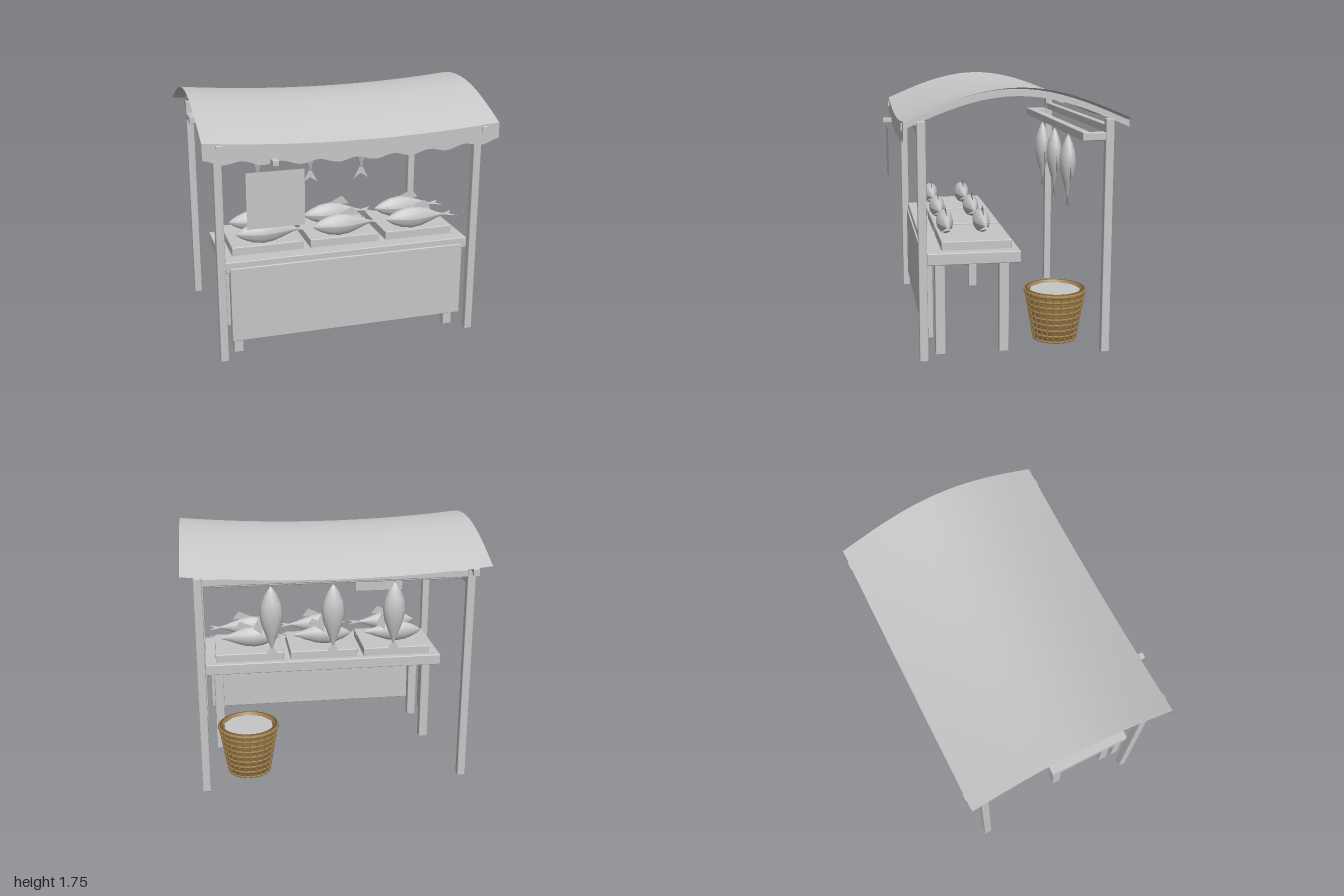
import * as THREE from 'three';
import { RoundedBoxGeometry } from 'three/addons/geometries/RoundedBoxGeometry.js';

const grey = new THREE.MeshStandardMaterial({ color: 0xc6c6c6, side: THREE.DoubleSide });
grey.name = 'pale grey';
const wicker = new THREE.MeshStandardMaterial({ color: 0xa6844f, side: THREE.DoubleSide });
wicker.name = 'wicker brown';

function add(parent, name, geometry, material = grey, x = 0, y = 0, z = 0) {
  const mesh = new THREE.Mesh(geometry, material);
  mesh.name = name;
  mesh.position.set(x, y, z);
  parent.add(mesh);
  return mesh;
}

// Box given by its limits on each axis, with slightly eased edges
function block(parent, name, [x0, x1], [y0, y1], [z0, z1]) {
  const geometry = new RoundedBoxGeometry(x1 - x0, y1 - y0, z1 - z0, 1, 0.006);
  return add(parent, name, geometry, grey, (x0 + x1) / 2, (y0 + y1) / 2, (z0 + z1) / 2);
}
const around = (c, size) => [c - size / 2, c + size / 2];

// Canopy curve: arched from front to back, sagging between the sides
const ROOF_Z = -0.03, ROOF_HALF = 0.715;
const arch = (z) => 1.55 + 0.2 * Math.cos(((z - ROOF_Z) / ROOF_HALF) * Math.PI / 2);
const sag = (x) => 0.05 * (1 - x * x);

function flatShape(points) {
  return new THREE.ShapeGeometry(new THREE.Shape(points.map(([x, y]) => new THREE.Vector2(x, y))));
}

function makeCanopy() {
  const canopy = new THREE.Group();
  canopy.name = 'canopy';

  const cloth = new THREE.PlaneGeometry(2, ROOF_HALF * 2, 24, 20);
  cloth.rotateX(-Math.PI / 2);
  const p = cloth.attributes.position;
  for (let i = 0; i < p.count; i++) {
    const z = p.getZ(i) + ROOF_Z;
    p.setXYZ(i, p.getX(i), arch(z) - sag(p.getX(i)), z);
  }
  cloth.computeVertexNormals();
  add(canopy, 'roofCloth', cloth);

  // Wavy valance hanging from the front edge
  const valance = new THREE.PlaneGeometry(2, 1, 80, 1);
  const v = valance.attributes.position;
  for (let i = 0; i < v.count; i++) {
    const x = v.getX(i);
    const drop = v.getY(i) > 0 ? 0 : 0.122 - 0.013 * Math.cos((x + 1) * Math.PI * 8);
    v.setY(i, 1.555 - sag(x) - drop);
  }
  add(canopy, 'valance', valance, grey, 0, 0, ROOF_Z + ROOF_HALF);

  // Arched rafters under both sides
  const top = [], bottom = [];
  for (let i = 0; i <= 20; i++) {
    const z = -0.75 + (1.445 * i) / 20;
    top.push([-z, arch(z) - 0.016]);
    bottom.unshift([-z, arch(z) - 0.058]);
  }
  const outline = new THREE.Shape([...top, ...bottom].map(([a, b]) => new THREE.Vector2(a, b)));
  const rafter = new THREE.ExtrudeGeometry(outline, { depth: 0.04, bevelEnabled: false });
  rafter.translate(0, 0, -0.02);
  rafter.rotateY(Math.PI / 2);
  for (const x of [-0.893, 0.893]) add(canopy, 'rafter', rafter, grey, x);
  return canopy;
}

function makeFrame() {
  const frame = new THREE.Group();
  frame.name = 'frame';
  for (const z of [0.57, -0.625]) {
    for (const x of [-0.893, 0.893]) block(frame, 'post', around(x, 0.055), [0, 1.545], around(z, 0.055));
    block(frame, 'topRail', [-0.87, 0.87], around(1.48, 0.05), around(z, 0.045));
  }
  // Rail for hanging goods
  block(frame, 'hangingRail', [-0.92, 0.92], [1.405, 1.46], around(-0.475, 0.055));
  for (const x of [-0.893, 0.893]) block(frame, 'railBracket', around(x, 0.053), [1.407, 1.458], [-0.6, -0.49]);
  // Sign and its arm
  block(frame, 'signArm', around(-0.55, 0.042), [1.39, 1.43], [0.545, 0.75]);
  add(frame, 'signBoard', new THREE.PlaneGeometry(0.38, 0.375), grey, -0.55, 1.168, 0.72);
  return frame;
}

function makeTable() {
  const table = new THREE.Group();
  table.name = 'table';
  block(table, 'tableTop', [-0.868, 0.868], [0.62, 0.697], [-0.067, 0.55]);
  for (const x of [-0.775, 0.775])
    for (const z of [0.453, 0.033]) block(table, 'tableLeg', around(x, 0.065), [0, 0.625], around(z, 0.065));
  block(table, 'frontPanel', [-0.83, 0.83], [0.125, 0.655], [0.502, 0.562]);
  for (const x of [-0.545, 0, 0.545]) block(table, 'tray', around(x, 0.495), [0.69, 0.756], [-0.02, 0.44]);
  return table;
}

// Fish with its nose at the origin, head up and back fin towards +x
function makeFish(name, tailTurn) {
  const fish = new THREE.Group();
  fish.name = name;
  const L = 0.425;
  const profile = [[1, 0.1], [0.9, 0.27], [0.78, 0.54], [0.6, 0.88], [0.43, 1], [0.28, 0.88], [0.13, 0.55], [0.05, 0.28], [0, 0.06]];
  const body = new THREE.LatheGeometry(profile.map(([t, r]) => new THREE.Vector2(r * 0.078, -t * L)), 12);
  body.scale(1, 1, 0.73);
  body.computeVertexNormals();
  add(fish, 'fishBody', body);
  add(fish, 'backFin', flatShape([[0.06, -0.19], [0.06, -0.33], [0.065, -0.33], [0.122, -0.285], [0.078, -0.19]]));
  const tail = add(fish, 'tailFin', flatShape([[0, -0.395], [-0.06, -0.515], [0, -0.475], [0.06, -0.515]]));
  tail.rotation.y = tailTurn;
  return fish;
}

function makeBasket() {
  const basket = new THREE.Group();
  basket.name = 'basket';
  basket.position.set(0.585, 0, -0.357);
  const H = 0.36, radius = (y) => 0.142 + 0.062 * (y / H);

  const wall = [[0, 0.002], [radius(0), 0.002], [radius(H), H], [radius(H) - 0.02, H], [radius(0.3) - 0.02, 0.3]];
  add(basket, 'basketWall', new THREE.LatheGeometry(wall.map(([r, y]) => new THREE.Vector2(r, y)), 28), wicker);

  // Woven hoops and upright stakes
  for (let i = 0; i < 9; i++) {
    const y = 0.012 + i * 0.0415;
    const hoop = new THREE.TorusGeometry(radius(y) + 0.002, i === 8 ? 0.013 : 0.008, 6, 28);
    add(basket, 'hoop', hoop.rotateX(Math.PI / 2), wicker, 0, y, 0);
  }
  const stake = new THREE.CylinderGeometry(0.006, 0.006, H, 5);
  stake.rotateZ(-Math.atan(0.062 / H));
  stake.translate(radius(H / 2) + 0.003, H / 2, 0);
  for (let i = 0; i < 24; i++) add(basket, 'stake', stake, wicker).rotation.y = (i / 24) * Math.PI * 2;

  // Contents heaped just under the rim
  add(basket, 'basketFill', new THREE.CylinderGeometry(0.175, 0.183, 0.04, 10), grey, 0, 0.325, 0);
  return basket;
}

export function createModel() {
  const stall = new THREE.Group();
  stall.name = 'marketStall';
  stall.add(makeCanopy(), makeFrame(), makeTable(), makeBasket());

  // Fish laid on the trays in two rows
  for (const x of [-0.543, -0.004, 0.531]) {
    for (const z of [0.39, 0.143]) {
      const fish = makeFish('trayFish', Math.PI / 2);
      fish.rotation.z = Math.PI / 2;
      fish.position.set(x - 0.2125, 0.83, z);
      stall.add(fish);
    }
  }
  // Fish hung from the back rail
  for (const x of [-0.417, 0, 0.417]) {
    const fish = makeFish('hangingFish', 0);
    fish.position.set(x, 1.388, -0.475);
    add(fish, 'string', new THREE.CylinderGeometry(0.004, 0.004, 0.04, 6), grey, 0, 0.01, 0);
    stall.add(fish);
  }
  return stall;
}
